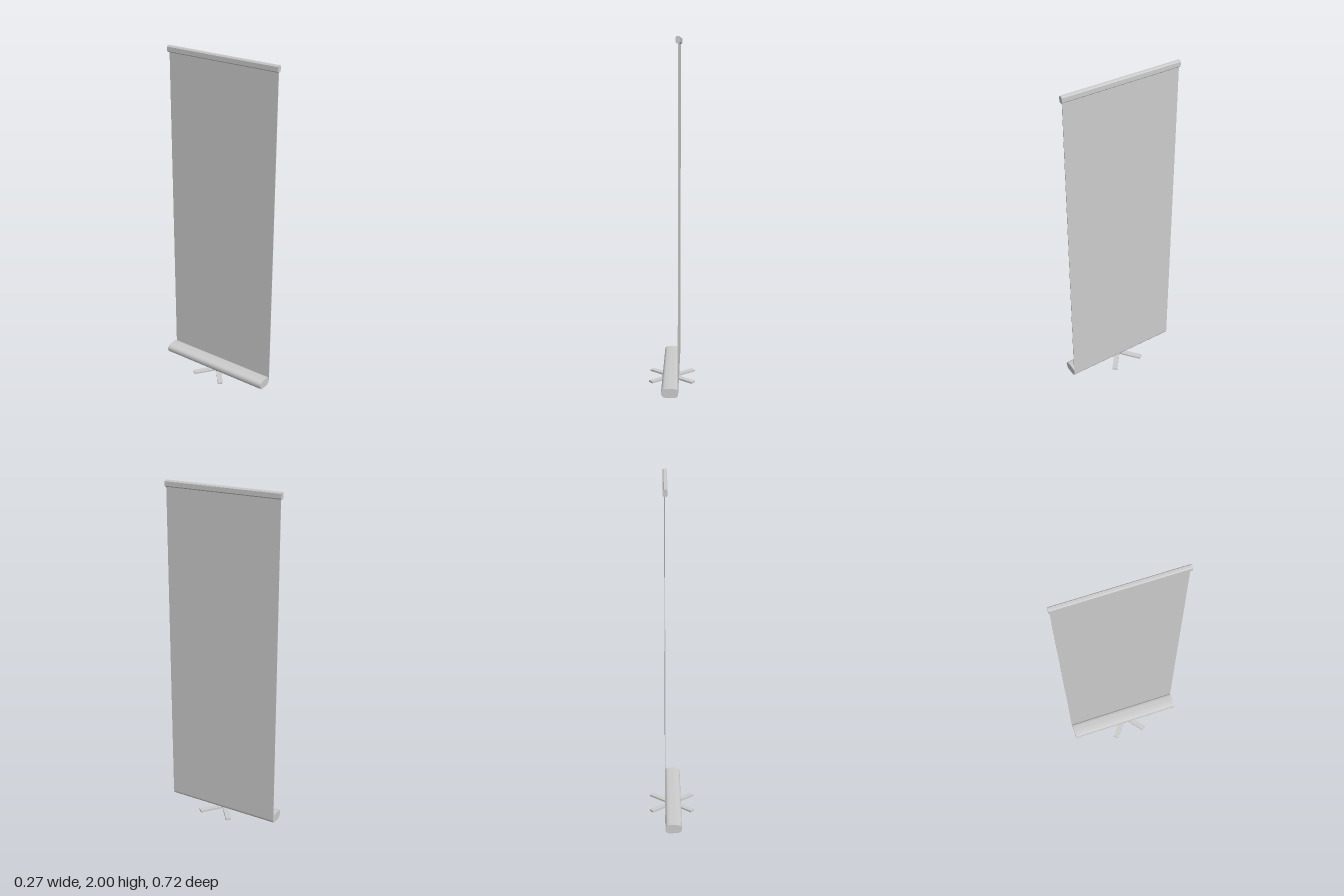
import * as THREE from 'three';
import { toCreasedNormals } from 'three/addons/utils/BufferGeometryUtils.js';

const grey = new THREE.MeshStandardMaterial({ color: 0xcccccc });

function add(parent, name, geometry) {
  const mesh = new THREE.Mesh(geometry, grey);
  mesh.name = name;
  parent.add(mesh);
  return mesh;
}

// Extrudes an x/y profile along z, centred on z = 0
function extrudeZ(shape, length) {
  const geo = new THREE.ExtrudeGeometry(shape, { depth: length, bevelEnabled: false, curveSegments: 8 });
  geo.translate(0, 0, -length / 2);
  return toCreasedNormals(geo, 0.6);
}

export function createModel() {
  const group = new THREE.Group();

  // Rounded cassette that holds the rolled sheet
  const base = new THREE.Shape();
  base.moveTo(-0.03, 0.01);
  base.lineTo(0.022, 0.01);
  base.quadraticCurveTo(0.042, 0.014, 0.042, 0.036);
  base.quadraticCurveTo(0.042, 0.057, 0.028, 0.062);
  base.quadraticCurveTo(-0.008, 0.069, -0.046, 0.06);
  base.quadraticCurveTo(-0.055, 0.052, -0.055, 0.04);
  base.quadraticCurveTo(-0.055, 0.016, -0.03, 0.01);
  add(group, 'baseCassette', extrudeZ(base, 0.705));

  // Thin upright sheet
  const sheet = add(group, 'bannerSheet', new THREE.BoxGeometry(0.003, 1.94, 0.708));
  sheet.position.set(0.0405, 1.005, 0);

  // Top clamp rail with softened corners
  const rail = new THREE.Shape();
  rail.moveTo(0.031, 1.962);
  rail.lineTo(0.044, 1.962);
  rail.lineTo(0.05, 1.968);
  rail.lineTo(0.05, 1.993);
  rail.lineTo(0.044, 2);
  rail.lineTo(0.031, 2);
  rail.lineTo(0.025, 1.993);
  rail.lineTo(0.025, 1.968);
  add(group, 'topRail', extrudeZ(rail, 0.718));

  // Crossed flat feet
  for (const side of [-1, 1]) {
    const foot = add(group, 'crossFoot', new THREE.BoxGeometry(0.32, 0.011, 0.032));
    foot.position.set(0, 0.0055, 0.006);
    foot.rotation.y = side * 0.672;
  }

  return group;
}
